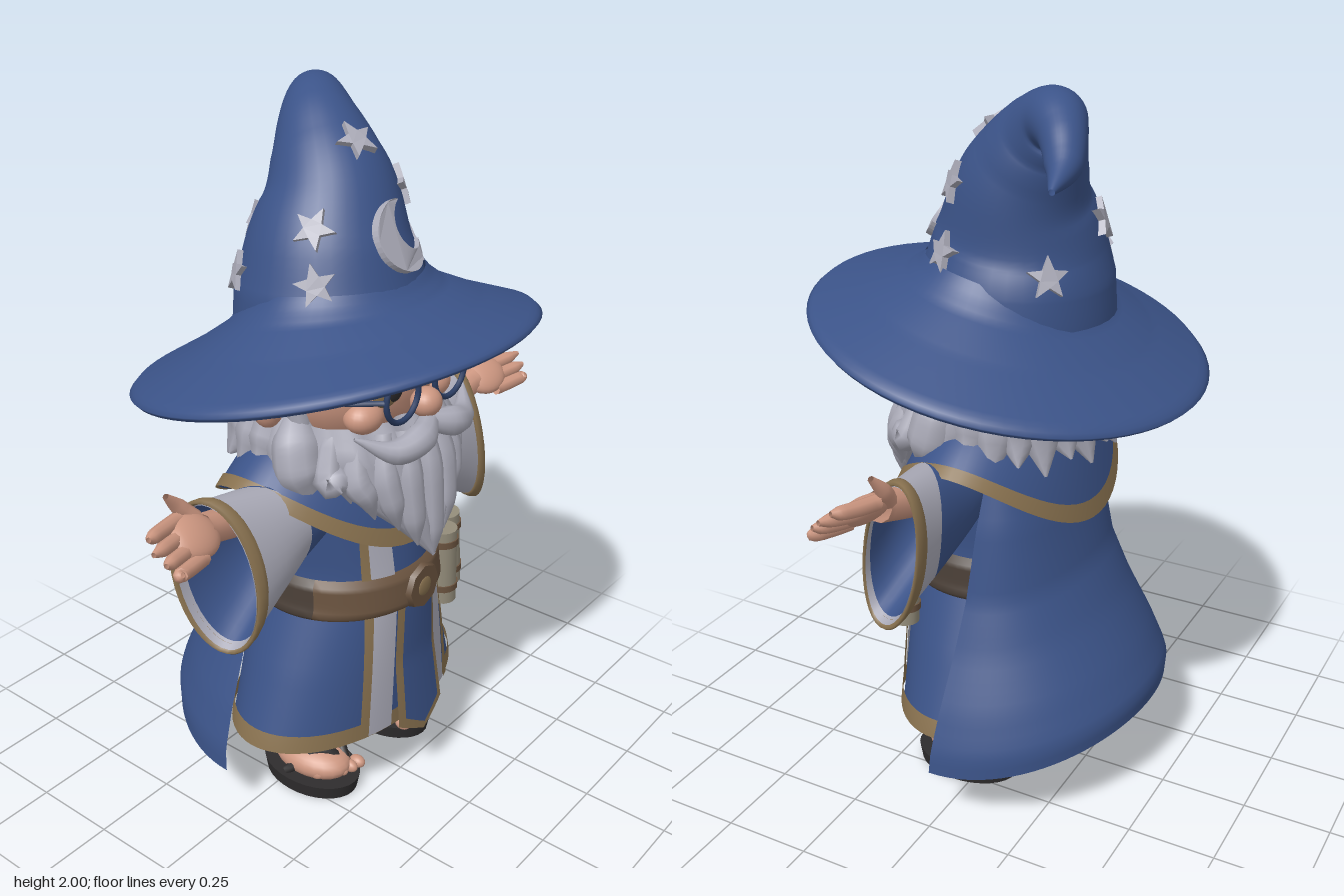
import * as THREE from 'three';
import { mergeVertices } from 'three/addons/utils/BufferGeometryUtils.js';

const mat = (name, color) => new THREE.MeshStandardMaterial({ name, color, side: THREE.DoubleSide });
const PI = Math.PI, { sin, cos, sqrt, max, min } = Math;

// Piecewise linear lookup in rows [key, value, ...] with rising keys
function look(rows, k) {
  let i = 0;
  while (i < rows.length - 2 && k > rows[i + 1][0]) i++;
  const a = rows[i], b = rows[i + 1];
  const t = min(1, max(0, (k - a[0]) / (b[0] - a[0])));
  return a.map((v, j) => v + (b[j] - v) * t);
}

function smooth(geo) {
  geo.deleteAttribute('uv');
  geo.deleteAttribute('normal');
  const g = mergeVertices(geo, 1e-5);
  g.computeVertexNormals();
  return g;
}

// Grid surface from f(u, v) => [x, y, z]
function sheet(f, u0, u1, v0, v1, nu = 40, nv = 12) {
  const pos = [], idx = [];
  for (let j = 0; j <= nv; j++)
    for (let i = 0; i <= nu; i++) pos.push(...f(u0 + (u1 - u0) * i / nu, v0 + (v1 - v0) * j / nv));
  for (let j = 0; j < nv; j++)
    for (let i = 0; i < nu; i++) {
      const a = j * (nu + 1) + i, b = a + nu + 1;
      idx.push(a, b, a + 1, a + 1, b, b + 1);
    }
  const g = new THREE.BufferGeometry();
  g.setAttribute('position', new THREE.Float32BufferAttribute(pos, 3));
  g.setIndex(idx);
  return smooth(g);
}

// Tube through points with its own radius at each point
function taper(points, radii, seg = 16, sides = 10) {
  const c = new THREE.CatmullRomCurve3(points.map(p => new THREE.Vector3(...p)));
  c.getPointAt = (t, o) => c.getPoint(t, o);
  c.getTangentAt = (t, o) => c.getTangent(t, o);
  const g = new THREE.TubeGeometry(c, seg, 1, sides), p = g.attributes.position, v = new THREE.Vector3();
  const rows = radii.map((r, i) => [i / (radii.length - 1), r]);
  for (let i = 0; i < p.count; i++) {
    const t = Math.floor(i / (sides + 1)) / seg, o = c.getPoint(t);
    v.fromBufferAttribute(p, i).sub(o).multiplyScalar(look(rows, t)[1]).add(o);
    p.setXYZ(i, v.x, v.y, v.z);
  }
  return smooth(g);
}

export function createModel() {
  const blue = mat('clothBlue', 0x3b5388), grey = mat('silverGrey', 0xababb8), gold = mat('trimGold', 0x88714f);
  const skin = mat('skin', 0xcd9781), brown = mat('beltBrown', 0x6a533f), black = mat('sandalBlack', 0x2e2c2d);
  const navy = mat('glassesNavy', 0x2b3d63), beige = mat('scrollBeige', 0x938c7a), dark = mat('beltDark', 0x4a3f37);
  const root = new THREE.Group(), body = new THREE.Group();
  root.name = 'wizard';
  body.name = 'figure';
  root.add(body);
  const add = (name, geo, m) => {
    const mesh = new THREE.Mesh(geo, m);
    mesh.name = name;
    body.add(mesh);
    return mesh;
  };
  const ball = (name, m, x, y, z, rx, ry, rz) => {
    const b = add(name, new THREE.SphereGeometry(1, 24, 16), m);
    b.position.set(x, y, z);
    b.scale.set(rx, ry, rz);
    return b;
  };

  // Hat: drooping crown and tilted brim
  const path = [[0, 1.4, -.015], [0, 1.5, -.02], [.01, 1.6, -.03], [.045, 1.72, -.055], [.075, 1.81, -.1],
    [.11, 1.88, -.15], [.16, 1.92, -.2], [.225, 1.9, -.25], [.3, 1.845, -.29], [.41, 1.81, -.315]];
  const crown = add('hatCrown', taper(path, [.268, .257, .226, .182, .145, .11, .08, .06, .045, .008], 54, 36), blue);
  const rim = [[0, .25, .2], [.05, .272, .17], [.12, .31, .135], [.3, .42, .075], [.48, .57, .008], [.52, .588, -.012],
    [.57, .575, -.028], [.8, .4, .01], [1, .2, .06]];
  add('hatBrim', sheet((a, v) => {
    const [, r, h] = look(rim, v), z = r * .9 * cos(a);
    return [r * sin(a), 1.325 + .235 * z + h * (.82 + .18 * sin(a) ** 2), z];
  }, 0, 2 * PI, 0, 1, 64, 50), blue);
  ball('hatLining', blue, 0, 1.3, -.06, .255, .15, .19);

  // Stars and moon laid on the crown
  const star = new THREE.Shape();
  for (let i = 0; i < 10; i++) {
    const r = i % 2 ? .025 : .057, a = i * PI / 5;
    star[i ? 'lineTo' : 'moveTo'](r * sin(a), r * cos(a));
  }
  const moon = new THREE.Shape();
  moon.absarc(0, 0, .095, .75, 2 * PI - .75, false);
  moon.absarc(.047, 0, .067, 2 * PI - 1.25, 1.25, true);
  const ray = new THREE.Raycaster();
  const badge = (name, shape, a, y, roll) => {
    const [, x, z] = look(path.slice(0, 6).map(p => [p[1], p[0], p[2]]), y);
    const dir = new THREE.Vector3(-sin(a), 0, -cos(a));
    ray.set(new THREE.Vector3(x, y, z).addScaledVector(dir, -1), dir);
    const hit = ray.intersectObject(crown)[0];
    const n = hit.face.normal.clone();
    if (n.dot(dir) > 0) n.negate();
    const g = new THREE.ExtrudeGeometry(shape, { depth: .022, bevelEnabled: false, curveSegments: 16 });
    g.rotateZ(roll);
    const p = g.attributes.position;
    for (let i = 0; i < p.count; i++) p.setZ(i, p.getZ(i) - p.getX(i) ** 2 * 2.4 - .006);
    g.computeVertexNormals();
    const m = add(name, g, grey);
    m.position.copy(hit.point);
    m.lookAt(hit.point.clone().add(n));
  };
  [[-.4, 1.87], [.6, 1.74], [-1.07, 1.69], [-1.04, 1.565], [1.03, 1.57], [-2.8, 1.64], [-2.2, 1.54], [2.35, 1.53]]
    .forEach(([a, y], i) => badge('hatStar', star, a, y, .25 - (i % 3) * .3));
  badge('hatMoon', moon, .03, 1.65, .45);

  // Head, nose and spectacles
  ball('head', skin, 0, 1.28, .03, .275, .22, .235);
  ball('nose', skin, 0, 1.235, .3, .045, .04, .042);
  add('glassesBridge', taper([[-.04, 1.295, .3], [0, 1.31, .315], [.04, 1.295, .3]], [.008, .008, .008], 8, 6), navy);
  for (const s of [-1, 1]) {
    ball('ear', skin, s * .295, 1.255, .01, .045, .07, .045);
    ball('eye', gold, s * .1, 1.285, .245, .052, .045, .025);
    ball('pupil', black, s * .09, 1.29, .266, .03, .032, .01);
    ball('cheek', skin, s * .15, 1.22, .21, .06, .045, .05);
    add('glassesRim', new THREE.TorusGeometry(.069, .008, 8, 28), navy).position.set(s * .105, 1.285, .3);
    add('glassesArm', taper([[s * .172, 1.29, .3], [s * .25, 1.29, .2], [s * .29, 1.29, .02]], [.008, .008, .008], 8, 6), navy);
    add('eyebrow', taper([[s * .03, 1.365, .25], [s * .1, 1.385, .26], [s * .18, 1.36, .21]], [.01, .02, .005], 10, 8), grey);
    add('moustache', taper([[0, 1.185, .31], [s * .07, 1.165, .335], [s * .15, 1.15, .315], [s * .24, 1.2, .25]],
      [.028, .042, .034, .004], 16, 10), grey);
    // Hair beside the face
    add('sideLock', taper([[s * .24, 1.21, .06], [s * .265, 1.15, .08], [s * .275, 1.07, .1], [s * .26, .98, .14]],
      [.035, .065, .068, .005]), grey);
    add('temple', taper([[s * .25, 1.4, .05], [s * .262, 1.3, .065], [s * .25, 1.2, .08]], [.03, .028, .03], 10, 8), grey);
    add('fringe', taper([[s * .1, 1.42, .2], [s * .19, 1.4, .18], [s * .265, 1.34, .08]], [.02, .03, .028], 10, 8), grey);
  }

  // Hair locks flaring round the back of the head
  for (let i = 0; i < 15; i++) {
    const a = 1.4 + i * (2 * PI - 2.8) / 14, d = i % 2 ? .035 : 0;
    const at = (r, y) => [r * 1.1 * sin(a), y, r * cos(a)];
    add('hairLock', taper([at(.16, 1.25), at(.2, 1.19), at(.235, 1.11), at(.29, 1.01 + d)], [.05, .065, .065, .004], 12, 8), grey);
  }

  // Beard: body and hanging locks; rows are y, half width, front z, depth
  const beard = [[.79, .006, .345, .008], [.9, .1, .35, .07], [1, .205, .335, .13], [1.12, .265, .31, .18], [1.2, .245, .26, .14]];
  add('beard', sheet((a, y) => {
    const [, w, z, d] = look(beard, y);
    return [w * sin(a), y, z - d + d * (1 + .06 * cos(14 * a)) * cos(a)];
  }, 0, 2 * PI, .79, 1.2, 72, 16), grey);
  for (const [x, y] of [[0, .785], [.07, .84], [.13, .9], [.19, .94], [.24, .99]])
    for (const s of x ? [-1, 1] : [1]) {
      const z = .33 - x * x * 2.2;
      add('beardLock', taper([[s * x * .9, 1.17, z - .05], [s * x * 1.08, 1.06, z - .02], [s * x, y + .08, z], [s * x * .85, y, z + .01]],
        [.03, .042, .036, .003], 14, 8), grey);
    }

  // Robe surface; rows are y, half width, half depth
  const robe = [[.24, .41, .25], [.45, .335, .25], [.65, .255, .25], [.75, .25, .235], [.95, .27, .2], [1.12, .18, .15]];
  const skirt = off => (a, y) => {
    const [, rx, rz] = look(robe, y);
    return [(rx + off) * sin(a), y, .03 + (rz + off) * cos(a)];
  };
  add('robe', sheet(skirt(0), 0, 2 * PI, .24, 1.12, 64, 30), blue);
  add('robeHem', sheet(skirt(.008), 0, 2 * PI, .235, .285, 64, 2), gold);
  add('robeLining', sheet((a, v) => [.4 * v * sin(a), .29 - .045 * v, .03 + .246 * v * cos(a)], 0, 2 * PI, 0, 1, 48, 2), grey);

  // Panels draped on the robe front, widening downwards; tip drops the middle of the lower edge
  const panel = (name, m, x0, x1, top, low, off, tip = 0) => add(name, sheet((u, v) => {
    const y = top + (low - tip * (1 - Math.abs(u) / max(x1, -x0)) - top) * v;
    const x = u * (1 + max(-.15, (.45 - y) * .6)), [, rx, rz] = look(robe, y);
    return [x, y, .03 + rz * sqrt(max(0, 1 - (x / rx) ** 2)) + off + (tip ? max(0, .45 - y) * .12 : 0)];
  }, x0, x1, 0, 1, 12, 14), m);
  panel('tabardTrim', gold, -.092, .092, .64, .245, .018, .055);
  panel('tabard', blue, -.07, .07, .64, .265, .023, .05);
  for (const s of [-1, 1]) {
    const strip = (name, m, a, b, top, low, off) => panel(name, m, min(s * a, s * b), max(s * a, s * b), top, low, off);
    strip('robeStripe', grey, .09, .165, .64, .24, .012);
    strip('robeStripeTrim', gold, .165, .19, .64, .24, .014);
    strip('chestStripe', grey, .09, .17, .95, .72, .012);
    strip('chestStripeTrim', gold, .17, .195, .95, .72, .014);
  }

  // Belt, darker round the back, with buckle and scrolls
  const strap = (a, v) => skirt(.008 + .018 * min(1, 4 * sin(PI * v)))(a, .615 + .12 * v);
  add('beltFront', sheet(strap, -1.2, 1.2, 0, 1, 28, 8), brown);
  add('beltBack', sheet(strap, 1.2, 2 * PI - 1.2, 0, 1, 40, 8), dark);
  const buckle = add('buckle', new THREE.CylinderGeometry(.065, .07, .016, 8), brown);
  buckle.rotation.x = PI / 2;
  buckle.position.set(0, .675, .308);
  ball('buckleStud', gold, 0, .675, .314, .03, .03, .008);
  [[.205, .625, .235], [.288, .63, .19]].forEach(([x, y, z], i) => {
    const g = new THREE.Group();
    g.name = 'scroll';
    for (const [h, r, dy, m] of [[.24, .042, 0, beige], [.02, .046, .08, brown], [.02, .046, -.07, brown]]) {
      const c = new THREE.Mesh(new THREE.CylinderGeometry(r, r, h, 16), m);
      c.name = m === beige ? 'scrollRoll' : 'scrollBand';
      c.position.y = dy;
      g.add(c);
    }
    g.position.set(x, y, z);
    g.rotation.z = .03 + i * .05;
    body.add(g);
  });

  // Shoulder mantle with gold edge
  const mantle = off => (a, v) => {
    const hem = .83 + .21 * sin(a) ** 2, y = 1.17 + (hem - 1.17) * v + .015 * sin(PI * v);
    return [(.16 + .235 * v + off) * sin(a), y, (.15 + (cos(a) > 0 ? .11 : .085) * v + .03 * sin(PI * v / 2) + off) * cos(a)];
  };
  add('mantle', sheet(mantle(0), 0, 2 * PI, 0, 1, 64, 14), blue);
  add('mantleTrim', sheet(mantle(.007), 0, 2 * PI, .88, 1.01, 64, 3), gold);

  // Cape; rows are fraction down, half width, depth
  const cape = [[0, .26, .18], [.18, .3, .225], [.43, .335, .27], [.6, .385, .33], [.78, .45, .405], [.92, .49, .455], [1, .495, .45]];
  add('cape', sheet((a, v) => {
    const [, rx, rz] = look(cape, v);
    return [rx * sin(a), 1 - .82 * v + .09 * v * cos(a) ** 2, rz * cos(a) - .06 * (1 - v) * sin(a) ** 2];
  }, PI / 2, 1.5 * PI, 0, 1, 48, 28), blue);

  // Sleeves, hands, legs and sandals; sleeve rows are x, centre y, half height, half depth
  const arm = [[.14, .95, .08, .1], [.3, .92, .125, .105], [.42, .895, .165, .108], [.56, .868, .21, .105]];
  for (const s of [-1, 1]) {
    const sleeve = off => (a, x) => {
      const [, cy, ry, rz] = look(arm, x), z = (rz + off) * sin(a), flare = max(0, x - .3) / .26;
      return [s * (x - .42 * z * flare), cy + (ry + off) * cos(a), .055 + z - .035 * flare * cos(a)];
    };
    // The grey cuff reaches further up the front of the sleeve than the back
    const seam = a => .38 - .08 * sin(a);
    add('sleeve', sheet((a, v) => sleeve(0)(a, .14 + (seam(a) - .14) * v), 0, 2 * PI, 0, 1, 36, 8), blue);
    add('sleeveCuff', sheet((a, v) => sleeve(0)(a, seam(a) + (.56 - seam(a)) * v), 0, 2 * PI, 0, 1, 36, 8), grey);
    add('sleeveLining', sheet(sleeve(-.008), 0, 2 * PI, .3, .535, 36, 6), blue);
    add('sleeveLiningEdge', sheet(sleeve(-.008), 0, 2 * PI, .535, .56, 36, 2), grey);
    add('sleeveTrim', sheet((a, v) => sleeve(.008 * cos(v))(a, .543 + .024 * sin(v)), 0, 2 * PI, 0, 2 * PI, 36, 8), gold);

    // Hand turned palm up and forward, thumb at the back
    add('forearm', taper([[s * .28, .95, .03], [s * .45, .99, .04], [s * .6, 1.03, .055]], [.05, .045, .042]), skin);
    ball('palm', skin, s * .64, 1.035, .07, .078, .033, .065).rotation.set(.65, 0, s * .15);
    for (let i = 0; i < 4; i++) {
      const z = .025 + i * .028, y = 1.07 - i * .025, e = .785 - (i === 3 ? .025 : 0) + (i === 1 ? .012 : 0);
      add('finger', taper([[s * .65, y, z], [s * .71, y + .005, z + .015], [s * .76, y + .012, z + .03], [s * e, y + .018, z + .04]],
        [.021, .021, .019, .007], 10, 8), skin);
    }
    add('thumb', taper([[s * .595, 1.05, .03], [s * .635, 1.095, .015], [s * .68, 1.145, .02]], [.024, .022, .008], 10, 8), skin);

    ball('trouserCuff', grey, s * .155, .245, .03, .135, .08, .14);
    add('leg', new THREE.CylinderGeometry(.075, .078, .2, 18), skin).position.set(s * .155, .15, -.015);
    add('ankleBand', new THREE.CylinderGeometry(.08, .08, .02, 18), dark).position.set(s * .155, .165, -.015);
    ball('foot', skin, s * .175, .065, .05, .085, .055, .13);
    for (let i = 0; i < 5; i++)
      ball('toe', skin, s * (.115 + i * .03), .058, .172 - i * i * .004, .019 - i * .0015, .019, .026);
    const sole = add('sandalSole', new THREE.CylinderGeometry(1, .95, .042, 32), black);
    sole.scale.set(.11, 1, .162);
    sole.position.set(s * .18, .021, .05);
    for (const d of [-1, 1])
      add('sandalStrap', taper([[s * .15, .06, .165], [s * .155 + d * .035, .115, .1], [s * .175 + d * .09, .04, .02]],
        [.012, .017, .015], 12, 8), black);
  }
  body.rotation.y = PI / 2; // the figure faces +x
  return root;
}
